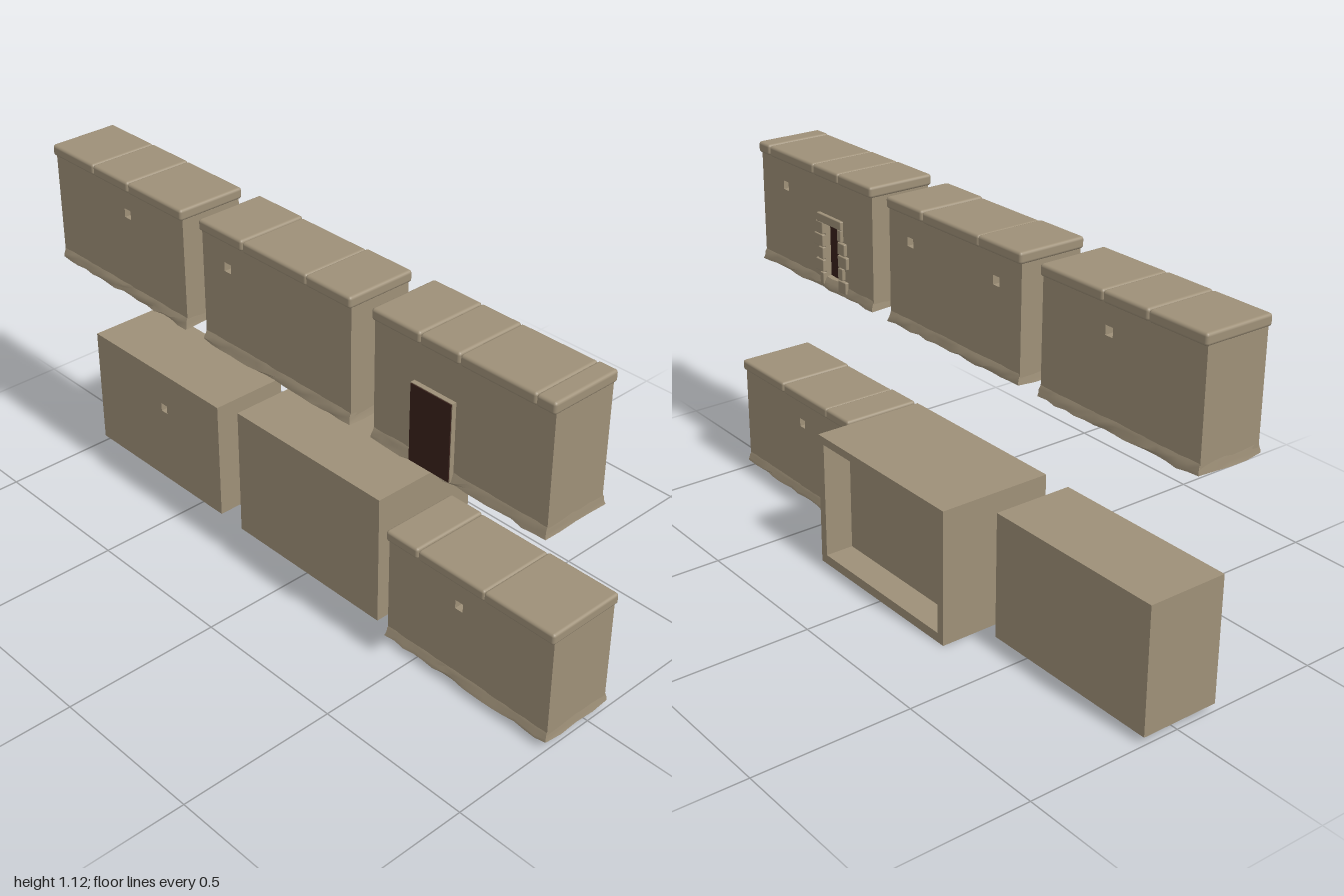
import * as THREE from 'three';
import { toCreasedNormals } from 'three/addons/utils/BufferGeometryUtils.js';
import { RoundedBoxGeometry } from 'three/addons/geometries/RoundedBoxGeometry.js';

const stone = new THREE.MeshStandardMaterial({ color: 0x9e9078 });
stone.name = 'sandstone';
const darkWood = new THREE.MeshStandardMaterial({ color: 0x38201a });
darkWood.name = 'darkWood';

// Repeatable noise in -1..1 from a position
function noise(x, y, z) {
  const s = Math.sin(x * 127.1 + y * 311.7 + z * 74.7) * 43758.5453;
  return (s - Math.floor(s)) * 2 - 1;
}

function add(group, name, geometry, material = stone) {
  const mesh = new THREE.Mesh(geometry, material);
  mesh.name = name;
  group.add(mesh);
  return mesh;
}

// Box given by its limits: [x0, x1], [y0, y1], [z0, z1]
function box(group, name, x, y, z, material = stone, radius = 0) {
  const size = [x, y, z].map(([a, b]) => b - a);
  const geometry = radius ? new RoundedBoxGeometry(...size, 2, radius) : new THREE.BoxGeometry(...size);
  const mesh = add(group, name, geometry, material);
  mesh.position.set((x[0] + x[1]) / 2, (y[0] + y[1]) / 2, (z[0] + z[1]) / 2);
  return mesh;
}

// Wall slab facing x, pierced by rectangular holes [z0, z1, y0, y1]
function wall(group, name, x, y, z, holes) {
  const rect = (target, z0, z1, y0, y1) => {
    target.moveTo(-z1, y0);
    target.lineTo(-z0, y0);
    target.lineTo(-z0, y1);
    target.lineTo(-z1, y1);
    target.closePath();
    return target;
  };
  const shape = rect(new THREE.Shape(), z[0], z[1], y[0], y[1]);
  for (const h of holes) shape.holes.push(rect(new THREE.Path(), ...h));
  const geometry = new THREE.ExtrudeGeometry(shape, { depth: x[1] - x[0], bevelEnabled: false });
  geometry.rotateY(Math.PI / 2);
  add(group, name, geometry).position.x = x[0];
}

// Weathered footing that spreads unevenly toward the ground
function footing(group, x, y, z) {
  const w = x[1] - x[0], h = y[1] - y[0], d = z[1] - z[0];
  const geometry = new THREE.BoxGeometry(w, h, d, 4, 3, 16);
  const p = geometry.attributes.position;
  for (let i = 0; i < p.count; i++) {
    const vx = p.getX(i), vy = p.getY(i), vz = p.getZ(i);
    const t = vy / h + 0.5;
    const n = 0.5 + 0.5 * noise(vx, vy, vz + z[0]);
    const inset = 0.011 * t * t + 0.005 * n;
    p.setXYZ(i, vx * (1 - 2 * inset / w), vy + (t < 0.01 ? 0.006 * n : 0.006 * (n - 0.5)),
      vz * (1 - 2 * (0.005 * t + 0.003 * n) / d));
  }
  add(group, 'footing', toCreasedNormals(geometry, 0.6))
    .position.set((x[0] + x[1]) / 2, (y[0] + y[1]) / 2, (z[0] + z[1]) / 2);
}

// Row of worn coping stones along the top
function coping(group, x, y, z, cuts) {
  const ends = [0, ...cuts, 1].map(t => z[0] + t * (z[1] - z[0]));
  for (let i = 0; i < ends.length - 1; i++) {
    const n = 0.002 + 0.002 * noise(i, x[0], z[0]);
    box(group, 'copingStone', [x[0] + n, x[1] - n], [y[0] - n, y[1] - n], [ends[i], ends[i + 1]], stone, 0.009);
  }
}

const windowAt = (z, y) => [z - 0.014, z + 0.014, y - 0.014, y + 0.014];

// Wall block: solid core, pierced side walls, footing and coping
function block(name, { x, y, z, right = [], left = [], cuts }) {
  const group = new THREE.Group();
  group.name = name;
  const skin = 0.03;
  const inset = cuts ? 0.011 : 0;
  const bx = [x[0] + inset, x[1] - inset];
  const by = cuts ? [y[0] + 0.006, y[1] - 0.01] : y;
  const bz = cuts ? [z[0] + 0.005, z[1] - 0.005] : z;
  box(group, 'core', [bx[0] + skin, bx[1] - skin], by, bz);
  wall(group, 'leftWall', [bx[1] - skin, bx[1]], by, bz, left);
  wall(group, 'rightWall', [bx[0], bx[0] + skin], by, bz, right);
  if (cuts) {
    coping(group, x, [y[1] - 0.035, y[1]], z, cuts);
    footing(group, x, [y[0], y[0] + 0.04], z);
  }
  return group;
}

export function createModel() {
  const model = new THREE.Group();
  model.name = 'wallBlocks';
  const front = [0.385, 1], middle = [-0.307, 0.307], back = [-1, -0.385];
  const upperX = [-0.242, -0.014];

  // Upper row
  const doorHole = [0.565, 0.645, 0.745, 0.947];
  const doorBlock = block('doorBlock', {
    x: upperX, y: [0.73, 1.125], z: front, cuts: [0.28, 0.5, 0.9],
    left: [doorHole, windowAt(0.86, 1.01)],
  });
  const twoWindowBlock = block('twoWindowBlock', {
    x: upperX, y: [0.73, 1.12], z: middle, cuts: [0.3, 0.72],
    left: [windowAt(0.2, 1.005), windowAt(-0.195, 1.005)], right: [windowAt(-0.195, 1.005)],
  });
  const oneWindowBlock = block('oneWindowBlock', {
    x: upperX, y: [0.73, 1.115], z: back, cuts: [0.33, 0.6],
    left: [windowAt(-0.65, 1.005)], right: [windowAt(-0.65, 1.005)],
  });

  // Recessed door with uneven stones around it
  box(doorBlock, 'door', [-0.056, -0.044], [0.745, 0.947], [0.565, 0.645], darkWood);
  const surround = [0.012, 0.034, 0.018, 0.04, 0.03];
  surround.forEach((w, i) => {
    const y0 = 0.745 + i * 0.041;
    const y = [y0, y0 + 0.039];
    box(doorBlock, 'doorStone', [-0.04, -0.014], y, [0.645, 0.652 + w], stone, 0.003);
    box(doorBlock, 'doorStone', [-0.04, -0.014], y, [0.558 - surround[(i + 1) % 5], 0.565], stone, 0.003);
  });
  box(doorBlock, 'lintel', [-0.04, -0.014], [0.947, 0.975], [0.545, 0.675], stone, 0.003);

  // Wide dark door panel on the other side
  box(doorBlock, 'doorBacking', [-0.245, -0.225], [0.74, 0.975], [0.535, 0.68]);
  box(doorBlock, 'doorPanel', [-0.248, -0.244], [0.742, 0.973], [0.537, 0.678], darkWood);

  // Lower row
  const copedBlock = block('copedBlock', {
    x: [-0.175, 0.085], y: [0.02, 0.396], z: front, cuts: [0.2, 0.6],
    left: [windowAt(0.66, 0.285)], right: [windowAt(0.66, 0.285)],
  });
  const plainBlock = block('plainBlock', {
    x: [-0.14, 0.117], y: [0.022, 0.418], z: [-0.997, -0.385], right: [windowAt(-0.655, 0.29)],
  });

  // Niche block, open on its left side
  const nicheBlock = new THREE.Group();
  nicheBlock.name = 'nicheBlock';
  box(nicheBlock, 'nicheCore', [-0.125, 0.15], [0, 0.43], middle);
  wall(nicheBlock, 'nicheFrame', [0.15, 0.243], [0, 0.43], middle, [[-0.28, 0.28, 0.03, 0.405]]);

  model.add(doorBlock, twoWindowBlock, oneWindowBlock, copedBlock, nicheBlock, plainBlock);
  return model;
}
